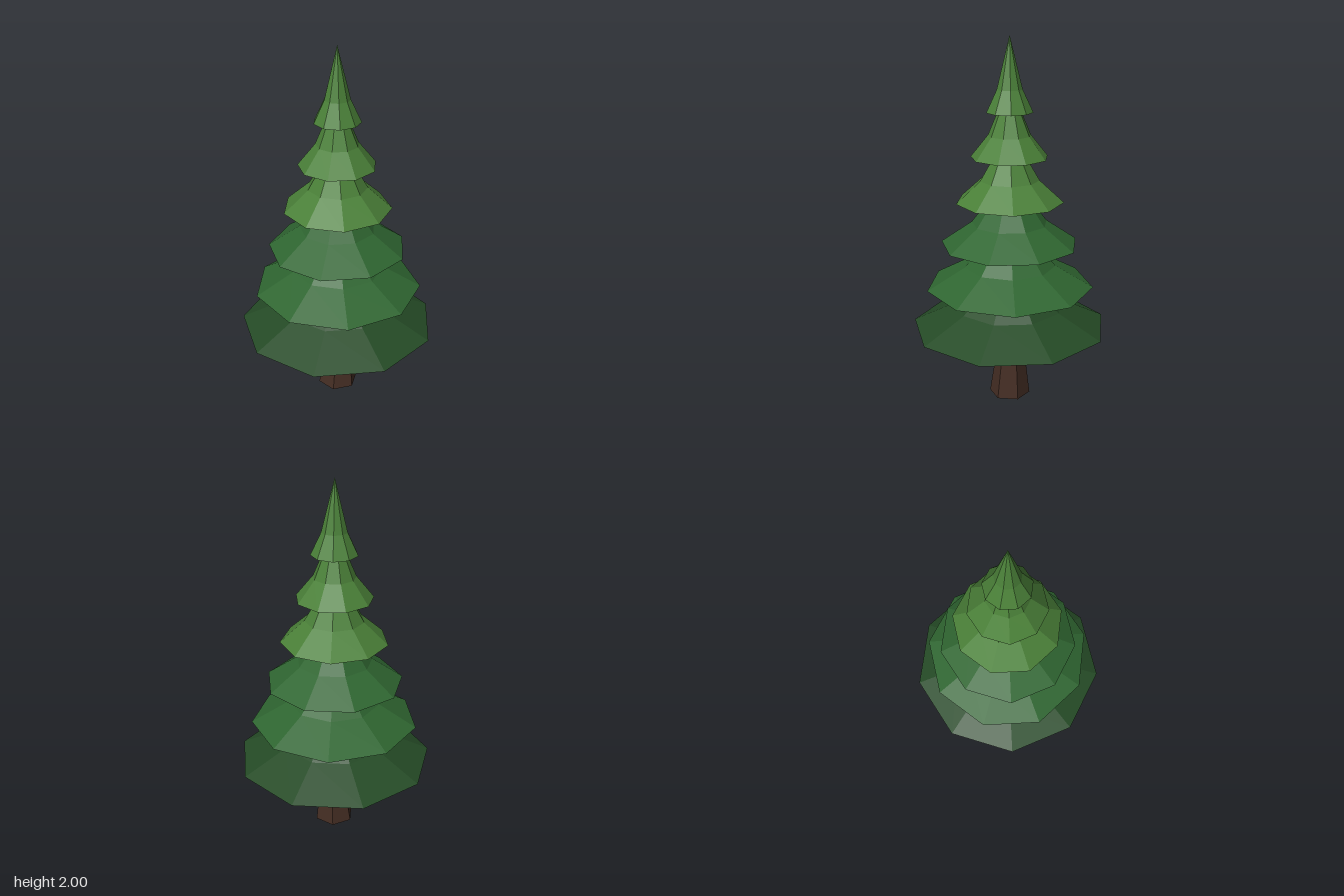
import * as THREE from 'three';

const AXIS_X = -0.017; // the crown's axis sits slightly off the centre

function material(name, color) {
  const m = new THREE.MeshStandardMaterial({ color, flatShading: true });
  m.name = name;
  return m;
}

// Faceted solid of revolution with its first corner towards +x (or turned by `turn`)
function faceted(name, profile, sides, mat, turn = 0) {
  const points = profile.map(([r, y]) => new THREE.Vector2(r, y));
  const geometry = new THREE.LatheGeometry(points, sides, Math.PI / 2 + turn).toNonIndexed();
  geometry.computeVertexNormals();
  const mesh = new THREE.Mesh(geometry, mat);
  mesh.name = name;
  return mesh;
}

export function createModel() {
  const tree = new THREE.Group();
  tree.name = 'pineTree';

  const bark = material('barkBrown', 0x452e24);
  const dark = material('darkGreen', 0x254b26);
  const mid = material('midGreen', 0x2f6631);
  const light = material('lightGreen', 0x4a8038);

  // Hexagonal trunk, flared at the foot and slightly bent at the middle
  const trunk = faceted('trunk',
    [[0, 0], [0.113, 0], [0.079, 0.255], [0.068, 0.45], [0, 0.45]], 6, bark);
  const pos = trunk.geometry.attributes.position;
  for (let i = 0; i < pos.count; i++) {
    const y = pos.getY(i);
    const bend = y > 0.4 ? 0.006 : y > 0.2 ? 0.011 : 0;
    pos.setX(i, pos.getX(i) + bend);
  }
  trunk.geometry.computeVertexNormals();
  trunk.position.x = AXIS_X;
  tree.add(trunk);

  // Six nine-sided skirts of branches, shrinking upwards, every other one turned half round
  const colours = [dark, mid, mid, light, light, light];
  colours.forEach((mat, i) => {
    const r = 0.54 - i * 0.0832;
    const tier = faceted(`branchTier${i + 1}`,
      [[0, 0], [r, 0], [r * 0.55, 0.117], [0, 0.39]], 9, mat, (i % 2) * Math.PI);
    tier.position.set(AXIS_X, 0.42 + i * 0.238, 0);
    tree.add(tier);
  });

  return tree;
}
